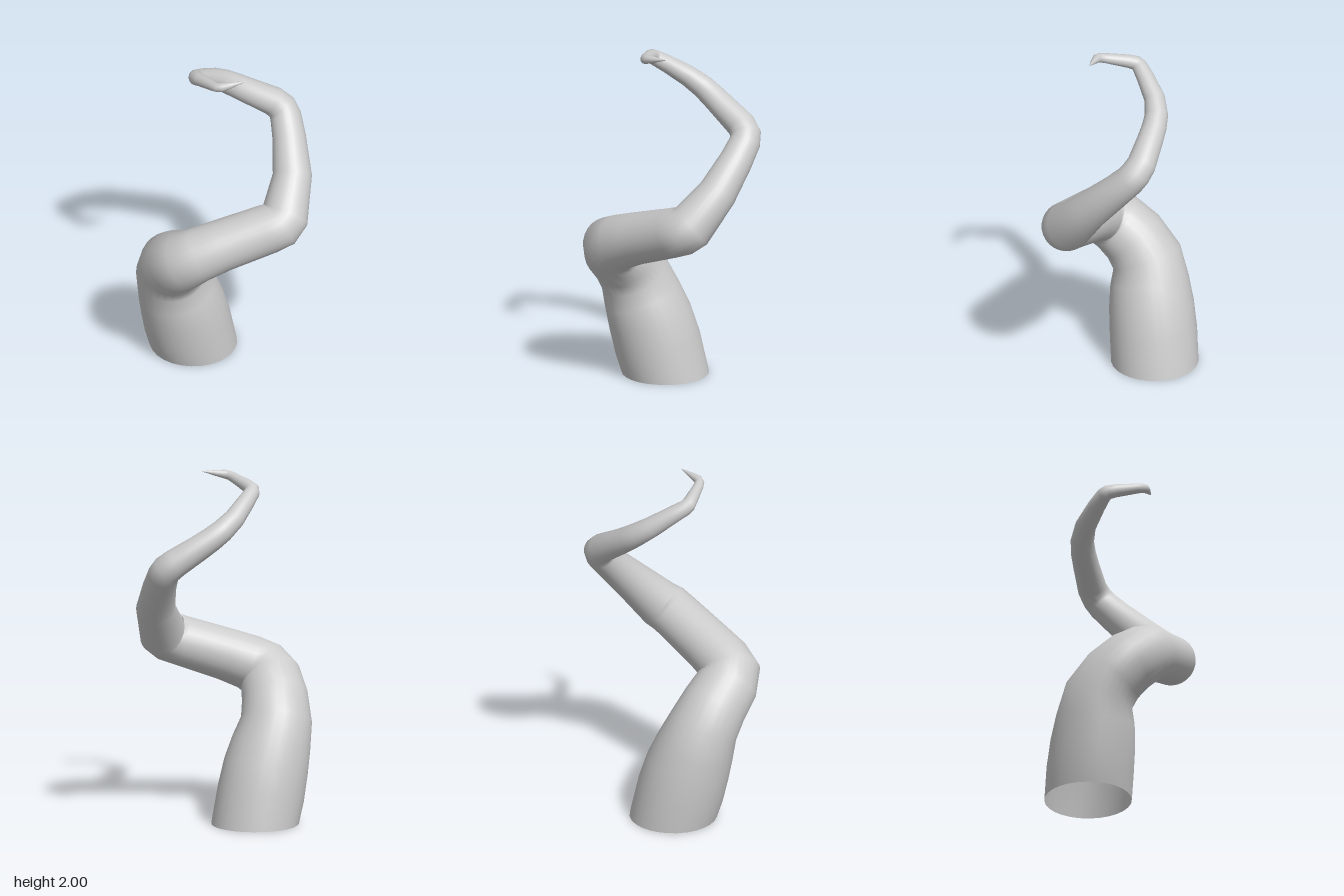
import * as THREE from 'three';

// Rings of the tentacle: centre x, y, z, radius
const RINGS = [
  [-0.18, 0, -0.13, 0.25],
  [-0.212, 0.17, -0.1, 0.25],
  [-0.24, 0.32, -0.068, 0.243],
  [-0.27, 0.45, -0.036, 0.226],
  [-0.297, 0.58, 0.002, 0.203],
  [-0.285, 0.69, 0.085, 0.19],
  [-0.255, 0.775, 0.18, 0.18],
  [-0.205, 0.825, 0.236, 0.17],
  [-0.13, 0.864, 0.233, 0.158],
  [0, 0.915, 0.208, 0.15],
  [0.26, 1.005, 0.158, 0.143],
  [0.325, 1.03, 0.14, 0.143],
  [0.357, 1.06, 0.1, 0.138],
  [0.39, 1.235, -0.065, 0.112],
  [0.362, 1.39, -0.22, 0.096],
  [0.338, 1.475, -0.3, 0.09],
  [0.315, 1.515, -0.325, 0.088],
  [0.265, 1.555, -0.332, 0.084],
  [0.13, 1.64, -0.302, 0.075],
  [0.06, 1.687, -0.284, 0.071],
  [0, 1.732, -0.26, 0.067],
  [-0.065, 1.79, -0.205, 0.06],
  [-0.125, 1.865, -0.105, 0.051],
  [-0.158, 1.908, -0.04, 0.045],
  [-0.157, 1.922, -0.015, 0.042],
  [-0.13, 1.935, 0.02, 0.038],
  [-0.05, 1.962, 0.115, 0.029],
  [-0.025, 1.97, 0.138, 0.027],
  [0.005, 1.977, 0.144, 0.025],
  [0.05, 1.985, 0.133, 0.018],
  [0.13, 1.998, 0.112, 0.002],
];
const SIDES = 28;

function tentacleGeometry() {
  const centres = RINGS.map(([x, y, z]) => new THREE.Vector3(x, y, z));
  const last = RINGS.length - 1;
  const direction = i => centres[i + 1].clone().sub(centres[i]).normalize();
  const normal = new THREE.Vector3(1, 0, 0);
  const binormal = new THREE.Vector3();
  const position = [];
  const index = [];

  centres.forEach((centre, i) => {
    // Each ring lies in the plane halving the bend; the first lies flat on the ground
    const tangent = i === 0 ? new THREE.Vector3(0, 1, 0) : direction(i - 1);
    if (i > 0 && i < last) tangent.add(direction(i)).normalize();
    // Carry the frame along without twisting
    normal.addScaledVector(tangent, -normal.dot(tangent)).normalize();
    binormal.crossVectors(tangent, normal);
    for (let j = 0; j < SIDES; j++) {
      const a = (j / SIDES) * Math.PI * 2;
      const p = centre.clone()
        .addScaledVector(normal, Math.cos(a) * RINGS[i][3])
        .addScaledVector(binormal, Math.sin(a) * RINGS[i][3]);
      position.push(p.x, p.y, p.z);
    }
  });
  for (let i = 0; i < last; i++) {
    for (let j = 0; j < SIDES; j++) {
      const a = i * SIDES + j, b = i * SIDES + ((j + 1) % SIDES);
      index.push(a, b, a + SIDES, b, b + SIDES, a + SIDES);
    }
  }
  const geometry = new THREE.BufferGeometry();
  geometry.setAttribute('position', new THREE.Float32BufferAttribute(position, 3));
  geometry.setIndex(index);
  geometry.computeVertexNormals();
  return geometry;
}

export function createModel() {
  const group = new THREE.Group();
  group.name = 'tentacle';

  // Tapered, coiling arm, open at the foot
  const material = new THREE.MeshStandardMaterial({ color: 0xcccccc, side: THREE.DoubleSide });
  const arm = new THREE.Mesh(tentacleGeometry(), material);
  arm.name = 'arm';
  group.add(arm);

  return group;
}
